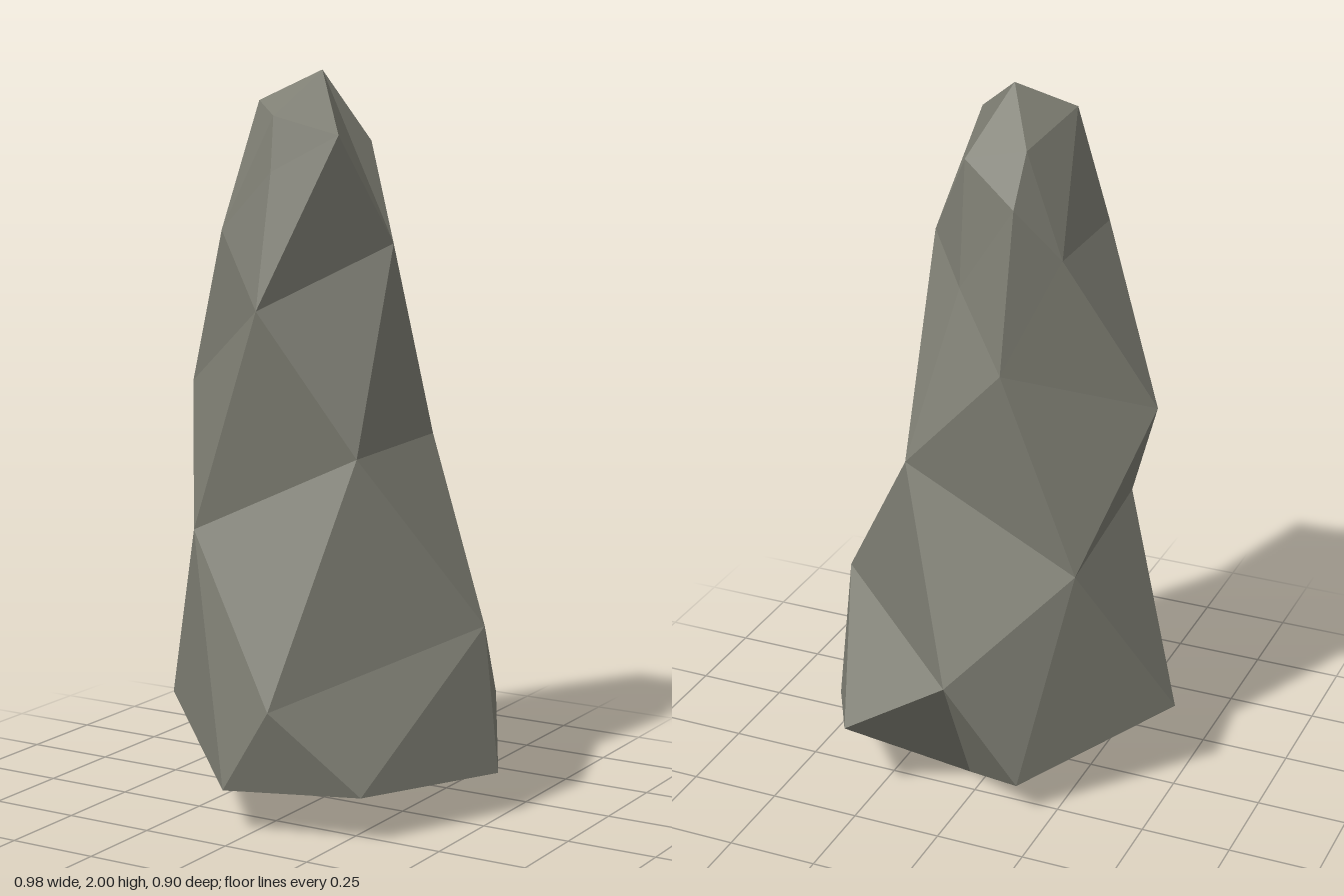
import * as THREE from 'three';

// Corner points shared by two neighbouring rings
const RIGHT_SHOULDER = [0.22, 1.55, 0.01];
const CREST_FRONT = [0.17, 1.84, 0.21];
const BACK_WAIST = [0.18, 1.0, -0.285];
const LEFT_FOOT = [-0.49, 0.24, 0.02];
const FRONT_FOOT = [-0.06, 0.12, 0.42];
const BACK_FOOT = [-0.16, 0.1, -0.33];
const KEEL = [0.05, 0, -0.17];

// Irregular cross-sections from top to bottom, each running front, right, back, left
const rings = [
  // peak
  [[-0.03, 2.0, -0.04]],
  // crest
  [[-0.16, 1.92, 0.07], [-0.04, 1.885, 0.19], CREST_FRONT, RIGHT_SHOULDER,
    [0.07, 1.81, -0.13], [-0.11, 1.86, -0.15]],
  // neck, with a dent at the front and at the back right
  [[-0.21, 1.58, 0.18], [-0.03, 1.74, 0.22], CREST_FRONT, RIGHT_SHOULDER,
    [0.07, 1.47, -0.17], [-0.11, 1.73, -0.235], [-0.21, 1.58, -0.15]],
  // shoulders
  [[-0.02, 1.385, 0.31], RIGHT_SHOULDER, BACK_WAIST, [-0.1, 1.3, -0.3], [-0.42, 1.14, 0.01]],
  // waist
  [[-0.27, 0.77, 0.235], [0.22, 1.0, 0.2], BACK_WAIST, [-0.29, 0.73, -0.24]],
  // flare
  [LEFT_FOOT, FRONT_FOOT, [0.1, 0.36, 0.45], [0.46, 0.53, -0.07], [0.01, 0.42, -0.43], BACK_FOOT],
  // foot
  [LEFT_FOOT, FRONT_FOOT, [0.305, 0.13, 0.32], [0.49, 0.12, -0.1], [0.3, 0.24, -0.45], KEEL, BACK_FOOT],
  // underside
  [[-0.17, 0.04, 0.02], KEEL],
];

// How each band is stitched: u steps along the upper ring, l along the lower one
const stitches = [
  'llllll',
  'ululullululul',
  'uuulluluulul',
  'lululuulu',
  'llululullu',
  'ululullulluul',
  'uluuuuluu',
];

// Triangles between two rings; steps along a shared corner leave no face
function stitch(upper, lower, steps, out) {
  let i = 0, j = 0;
  for (const step of steps) {
    const a = upper[i % upper.length];
    const b = lower[j % lower.length];
    const c = step === 'u' ? upper[++i % upper.length] : lower[++j % lower.length];
    if (a !== b && b !== c && a !== c) out.push(...a, ...b, ...c);
  }
}

export function createModel() {
  const positions = [];
  stitches.forEach((steps, k) => stitch(rings[k], rings[k + 1], steps, positions));

  const geometry = new THREE.BufferGeometry();
  geometry.setAttribute('position', new THREE.Float32BufferAttribute(positions, 3));
  geometry.computeVertexNormals();

  const rock = new THREE.Mesh(
    geometry,
    new THREE.MeshStandardMaterial({ color: 0x7f7f74, flatShading: true })
  );
  rock.name = 'standingRock';

  const model = new THREE.Group();
  model.name = 'rockPillar';
  model.add(rock);
  return model;
}
